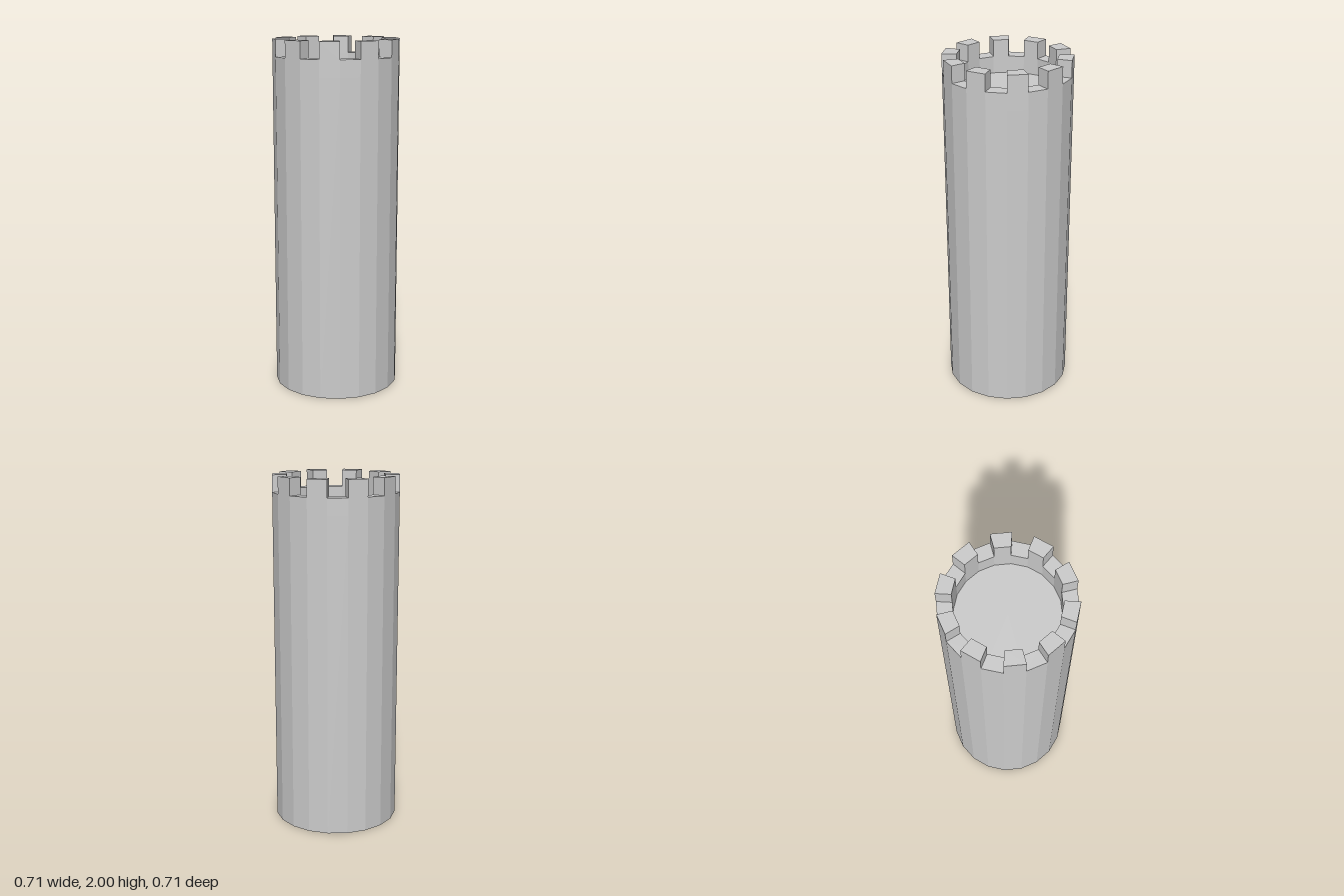
import * as THREE from 'three';

const SIDES = 20, STEP = (Math.PI * 2) / SIDES;
const R_OUT = 0.356, R_IN = 0.275;
const FLOOR_Y = 1.81, RIM_Y = 1.905, TOP_Y = 2;

const material = new THREE.MeshStandardMaterial({ color: 0xcccccc, flatShading: true });

// Plan point on side corner i, measured from the front (+z) towards +x
const corner = (r, i) => new THREE.Vector2(r * Math.sin(i * STEP), -r * Math.cos(i * STEP));
const polygon = (r) => Array.from({ length: SIDES }, (_, i) => corner(r, i));

// Raise a plan shape from y0 to y1
function raise(name, shape, y0, y1) {
  const geometry = new THREE.ExtrudeGeometry(shape, { depth: y1 - y0, bevelEnabled: false });
  geometry.rotateX(-Math.PI / 2);
  geometry.translate(0, y0, 0);
  const mesh = new THREE.Mesh(geometry, material);
  mesh.name = name;
  return mesh;
}

export function createModel() {
  const tower = new THREE.Group();
  tower.name = 'tower';

  // Solid shaft, its top is the walkway floor
  const shaft = new THREE.Mesh(new THREE.CylinderGeometry(R_OUT, R_OUT, FLOOR_Y, SIDES), material);
  shaft.position.y = FLOOR_Y / 2;
  shaft.name = 'shaft';
  tower.add(shaft);

  // Low parapet ring around the floor
  const ring = new THREE.Shape(polygon(R_OUT));
  ring.holes.push(new THREE.Path(polygon(R_IN)));
  tower.add(raise('parapet', ring, FLOOR_Y, RIM_Y));

  // Merlons on every second side
  const merlons = new THREE.Group();
  merlons.name = 'merlons';
  for (let i = 0; i < SIDES; i += 2) {
    const plan = new THREE.Shape([corner(R_IN, i), corner(R_OUT, i), corner(R_OUT, i + 1), corner(R_IN, i + 1)]);
    merlons.add(raise('merlon', plan, RIM_Y, TOP_Y));
  }
  tower.add(merlons);

  return tower;
}
